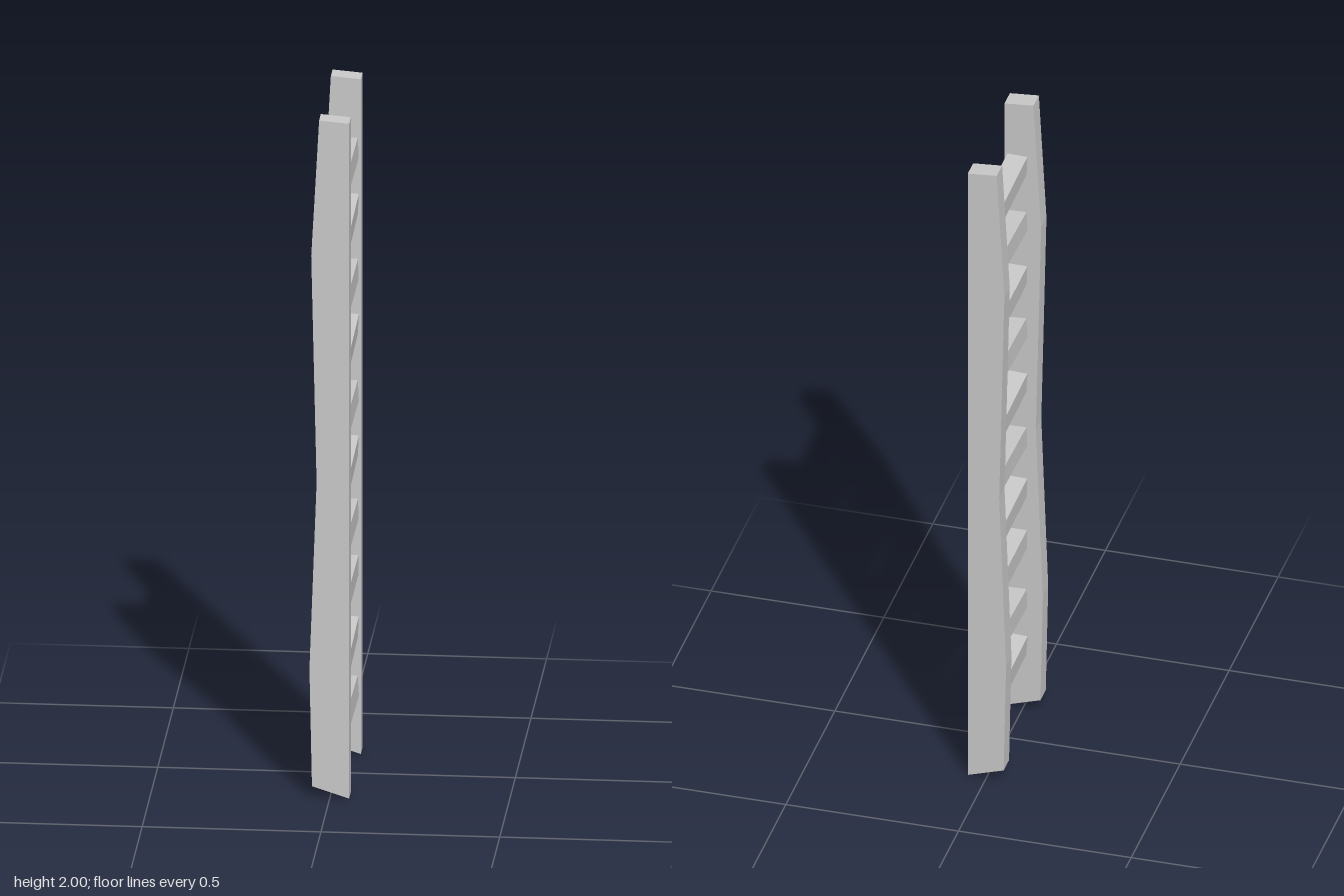
import * as THREE from 'three';

const material = new THREE.MeshStandardMaterial({ color: 0xcccccc, flatShading: true });

// Side outline of a rail (x, y): straight front edge, roughly hewn back edge
const RAIL = [
  [0.054, 0], [0.054, 1.993], [-0.03, 2], [-0.052, 1.6],
  [-0.037, 0.93], [-0.057, 0.38], [-0.05, 0.033],
];
const RAIL_INNER = 0.16, RAIL_THICK = 0.055;

// Each rung: centre height at the +z rail, at the -z rail, and a slight roll
const RUNGS = [
  [0.21, 0.2, 0.06], [0.364, 0.377, -0.03], [0.56, 0.557, 0], [0.732, 0.724, 0.03],
  [0.9, 0.912, -0.04], [1.08, 1.073, 0.05], [1.26, 1.271, -0.06], [1.435, 1.432, 0.03],
  [1.613, 1.626, -0.04], [1.798, 1.79, 0.04],
];

export function createModel() {
  const ladder = new THREE.Group();
  ladder.name = 'ladder';

  // Two matching rails
  const outline = new THREE.Shape(RAIL.map(([x, y]) => new THREE.Vector2(x, y)));
  const railGeometry = new THREE.ExtrudeGeometry(outline, { depth: RAIL_THICK, bevelEnabled: false });
  for (const [name, z] of [['frontRail', RAIL_INNER], ['backRail', -RAIL_INNER - RAIL_THICK]]) {
    const rail = new THREE.Mesh(railGeometry, material);
    rail.name = name;
    rail.position.z = z;
    ladder.add(rail);
  }

  // Slightly crooked rungs between the rails
  const span = 2 * RAIL_INNER;
  const rungGeometry = new THREE.BoxGeometry(0.058, 0.06, span + 0.01);
  RUNGS.forEach(([front, back, roll], i) => {
    const rung = new THREE.Mesh(rungGeometry, material);
    rung.name = `rung${i + 1}`;
    rung.position.set(0.018, (front + back) / 2, 0);
    rung.rotation.set(-Math.atan2(front - back, span), 0, roll);
    ladder.add(rung);
  });

  return ladder;
}
